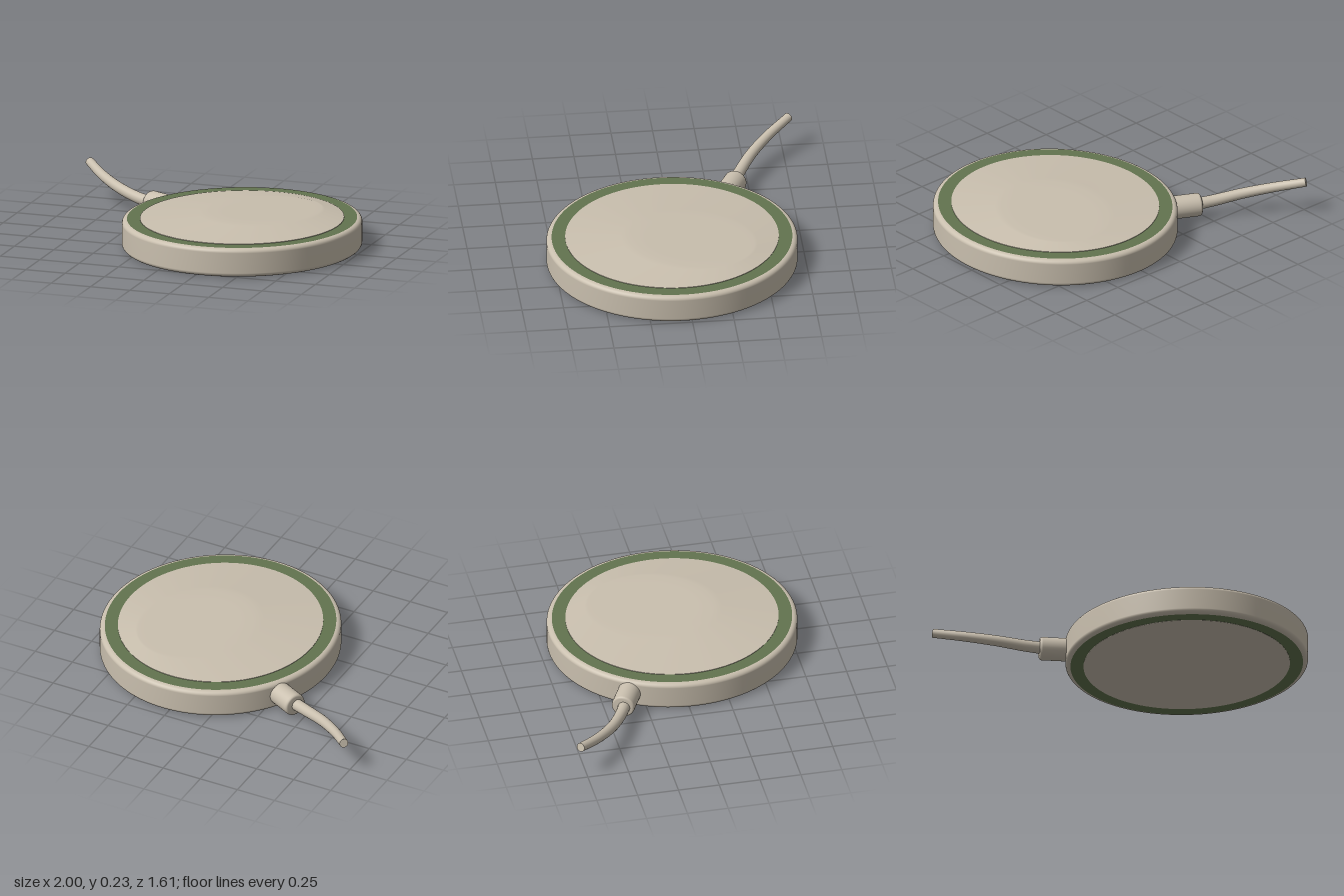
import * as THREE from 'three';

const RX = 0.715, RZ = 0.7525, CX = 0.285, CZ = 0.0475, TOP = 0.178;

export function createModel() {
  const group = new THREE.Group();
  const shell = new THREE.MeshStandardMaterial({ name: 'warm beige', color: 0xc9bfae });
  const green = new THREE.MeshStandardMaterial({ name: 'moss green', color: 0x62734f });

  const add = (name, geometry, material) => {
    const mesh = new THREE.Mesh(geometry, material);
    mesh.name = name;
    group.add(mesh);
    return mesh;
  };

  // Turned part stretched to the slightly oval footprint (radii are fractions of the rim)
  const oval = (name, points, material) => {
    const g = new THREE.LatheGeometry(points.map(([r, y]) => new THREE.Vector2(r, y)), 128);
    g.scale(RX, 1, RZ);
    g.translate(CX, 0, CZ);
    return add(name, g, material);
  };

  // Side wall with rounded upper and lower edges
  const wall = [];
  const fr = 0.042, fy = 0.026;
  for (let i = 0; i <= 6; i++) {
    const a = (i / 6) * Math.PI / 2;
    wall.push([1 - fr + fr * Math.sin(a), 0.002 + fy - fy * Math.cos(a)]);
  }
  for (let i = 0; i <= 6; i++) {
    const a = (i / 6) * Math.PI / 2;
    wall.push([1 - fr + fr * Math.cos(a), TOP - fy + fy * Math.sin(a)]);
  }
  oval('rim', wall, shell);

  // Grip rings and base plate
  oval('topRing', [[0.958, TOP], [0.85, TOP]], green);
  oval('bottomRing', [[0.85, 0.002], [0.958, 0.002]], green);
  oval('basePlate', [[0, 0], [0.85, 0], [0.85, 0.002]], shell);

  // Top pad: straight slopes from the oval edge to a tilted raised plateau
  const seg = 128, inner = 4, outer = 8, rings = inner + outer;
  const tilt = Math.atan2(-0.93, 0.37), ct = Math.cos(tilt), st = Math.sin(tilt);
  const pos = [], index = [];
  for (let i = 0; i <= rings; i++) {
    for (let j = 0; j < seg; j++) {
      const a = (j / seg) * Math.PI * 2;
      const k = Math.min(1, i / inner), t = Math.max(0, (i - inner) / outer);
      const u = 0.38 * k * Math.cos(a - tilt), v = 0.31 * k * Math.sin(a - tilt);
      const px = 0.39 + u * ct - v * st, pz = -0.06 + u * st + v * ct;
      const py = 0.209 + 0.02 * pz;
      pos.push(
        THREE.MathUtils.lerp(px, CX + 0.85 * RX * Math.cos(a), t),
        THREE.MathUtils.lerp(py, TOP + 0.003, t),
        THREE.MathUtils.lerp(pz, CZ + 0.85 * RZ * Math.sin(a), t));
      if (i < rings) {
        const n = (j + 1) % seg, p = i * seg, q = p + seg;
        index.push(p + j, p + n, q + j, p + n, q + n, q + j);
      }
    }
  }
  const pad = new THREE.BufferGeometry();
  pad.setAttribute('position', new THREE.Float32BufferAttribute(pos, 3));
  pad.setIndex(index);
  pad.computeVertexNormals();
  add('topPad', pad, shell);
  oval('padEdge', [[0.85, TOP - 0.003], [0.85, TOP + 0.003]], shell);

  // Strain relief collar where the cable leaves the body
  const collarPoints = [[0.07, 0], [0.07, 0.2], [0.067, 0.21], [0.058, 0.216], [0, 0.217]];
  const collar = add('cableCollar',
    new THREE.LatheGeometry(collarPoints.map(([r, y]) => new THREE.Vector2(r, y)), 32), shell);
  const dir = new THREE.Vector3(-0.89, 0, -0.45).normalize();
  collar.quaternion.setFromUnitVectors(new THREE.Vector3(0, 1, 0), dir);
  collar.position.set(-0.465, 0.096, -0.42).addScaledVector(dir, -0.217);

  // Cable: rising curve, slightly slimmer towards its free end
  const path = new THREE.CatmullRomCurve3([
    [-0.43, 0.095, -0.395], [-0.55, 0.105, -0.45], [-0.7, 0.132, -0.535],
    [-0.85, 0.168, -0.655], [-0.98, 0.208, -0.79]
  ].map(p => new THREE.Vector3(...p)));
  const steps = 40, sides = 20;
  const tube = new THREE.TubeGeometry(path, steps, 0.037, sides, false);
  const p = tube.attributes.position, vtx = new THREE.Vector3();
  for (let i = 0; i <= steps; i++) {
    const c = path.getPointAt(i / steps);
    for (let j = 0; j <= sides; j++) {
      const n = i * (sides + 1) + j;
      vtx.fromBufferAttribute(p, n).sub(c).multiplyScalar(1 - 0.27 * i / steps).add(c);
      p.setXYZ(n, vtx.x, vtx.y, vtx.z);
    }
  }
  add('cable', tube, shell);

  // Flat cap on the cable end
  const cap = add('cableEnd', new THREE.CircleGeometry(0.027, sides), shell);
  cap.position.copy(path.getPointAt(1));
  cap.quaternion.setFromUnitVectors(new THREE.Vector3(0, 0, 1), path.getTangentAt(1));

  return group;
}
